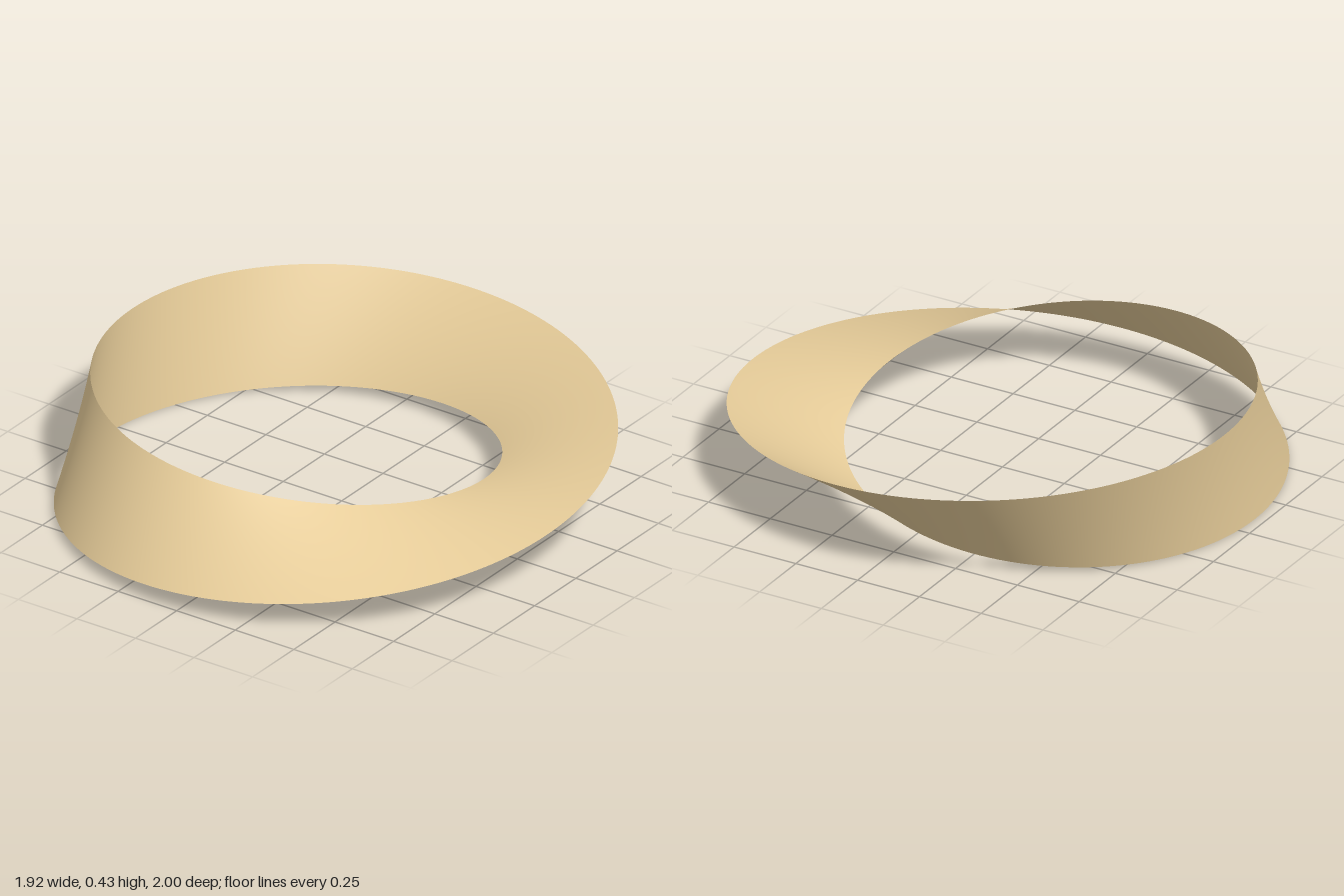
import * as THREE from 'three';
import { ParametricGeometry } from 'three/addons/geometries/ParametricGeometry.js';

const RADIUS = 0.849;      // centre line of the band
const HALF_WIDTH = 0.2125; // half the width of the band
const CENTRE_X = -0.106;   // shift that centres the bounds on x = 0

// Band with a single half twist: flat at +x, upright at -x
function twistedBand(u, v, target) {
  const angle = u * Math.PI * 2;
  const across = (v * 2 - 1) * HALF_WIDTH;
  const r = RADIUS + across * Math.cos(angle / 2);
  target.set(
    CENTRE_X + r * Math.cos(angle),
    HALF_WIDTH - across * Math.sin(angle / 2),
    r * Math.sin(angle)
  );
}

export function createModel() {
  const group = new THREE.Group();
  group.name = 'mobiusStrip';

  const material = new THREE.MeshStandardMaterial({ color: 0xe6cc99, side: THREE.DoubleSide });
  const band = new THREE.Mesh(new ParametricGeometry(twistedBand, 240, 16), material);
  band.name = 'twistedBand';
  group.add(band);

  return group;
}
